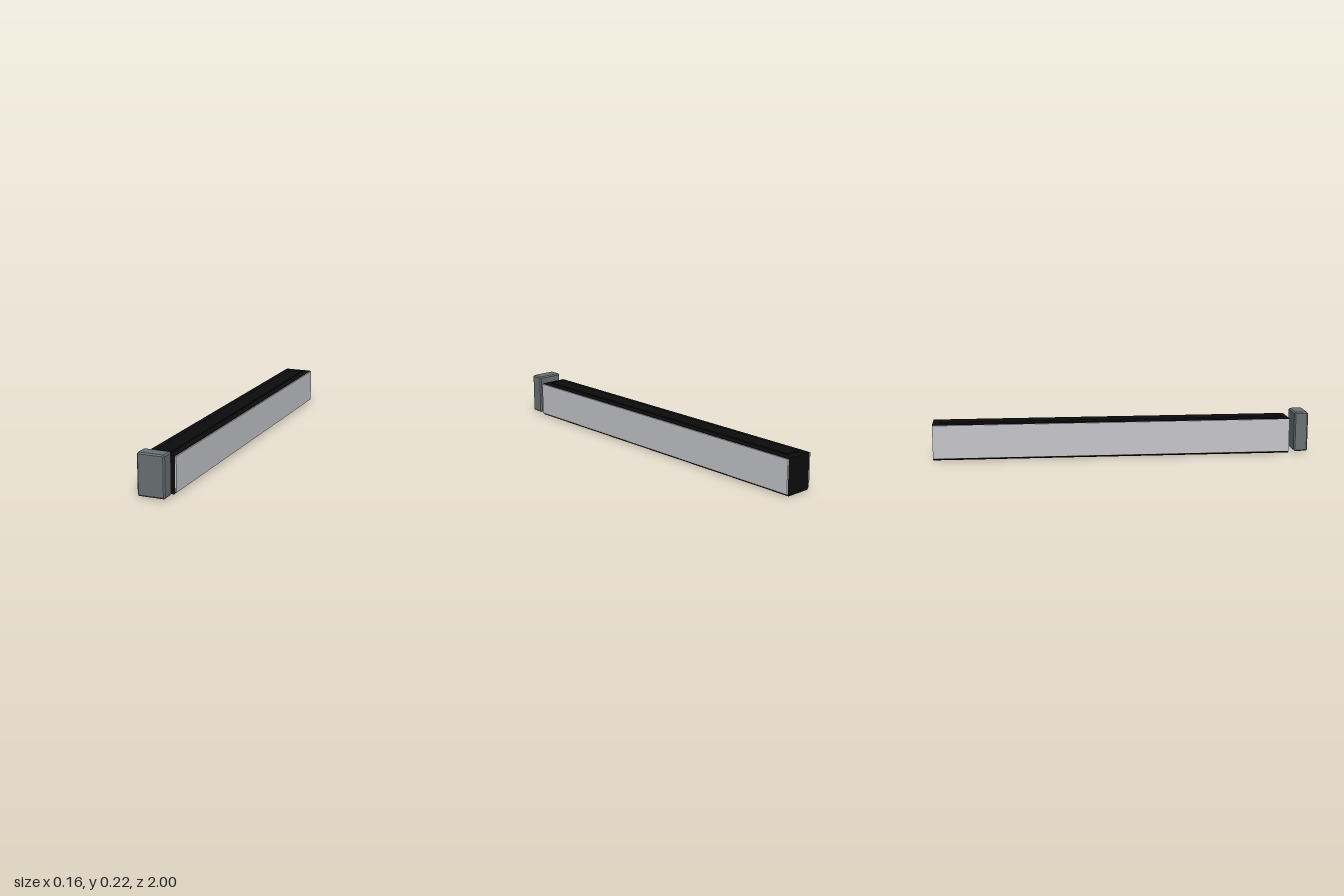
import * as THREE from 'three';
import { ConvexGeometry } from 'three/addons/geometries/ConvexGeometry.js';

const black = new THREE.MeshStandardMaterial({ name: 'black', color: 0x0c0c0c });
const lightGrey = new THREE.MeshStandardMaterial({ name: 'lightGrey', color: 0xc5c6ca });
const slateGrey = new THREE.MeshStandardMaterial({ name: 'slateGrey', color: 0x697073 });

// Box with every edge cut at 45 degrees
function chamferBox(w, h, d, c) {
  const half = [w / 2, h / 2, d / 2];
  const points = [];
  for (let axis = 0; axis < 3; axis++) {
    for (const sx of [-1, 1]) for (const sy of [-1, 1]) for (const sz of [-1, 1]) {
      const p = [sx, sy, sz].map((s, i) => s * (half[i] - (i === axis ? 0 : c)));
      points.push(new THREE.Vector3(...p));
    }
  }
  return new ConvexGeometry(points);
}

export function createModel() {
  const model = new THREE.Group();
  const add = (name, geometry, material, x, y, z) => {
    const mesh = new THREE.Mesh(geometry, material);
    mesh.name = name;
    mesh.position.set(x, y, z);
    model.add(mesh);
  };

  // Long core with its lower edges bevelled
  const profile = new THREE.Shape([
    [-0.067, 0], [0.067, 0], [0.074, 0.008], [0.074, 0.19], [-0.074, 0.19], [-0.074, 0.008],
  ].map(([x, y]) => new THREE.Vector2(x, y)));
  add('core', new THREE.ExtrudeGeometry(profile, { depth: 1.895, bevelEnabled: false }), black, 0, 0, -1);

  // Raised strip along the top
  add('topStrip', new THREE.BoxGeometry(0.08, 0.014, 1.82), black, 0, 0.19, -0.05);

  // Side panels
  for (const [side, s] of [['left', 1], ['right', -1]]) {
    add(side + 'Panel', new THREE.BoxGeometry(0.008, 0.176, 1.895), lightGrey, s * 0.077, 0.099, -0.0525);
  }

  // Separate block in front of the core
  add('endBlock', chamferBox(0.142, 0.213, 0.075, 0.007), slateGrey, 0, 0.1135, 0.9625);

  return model;
}
